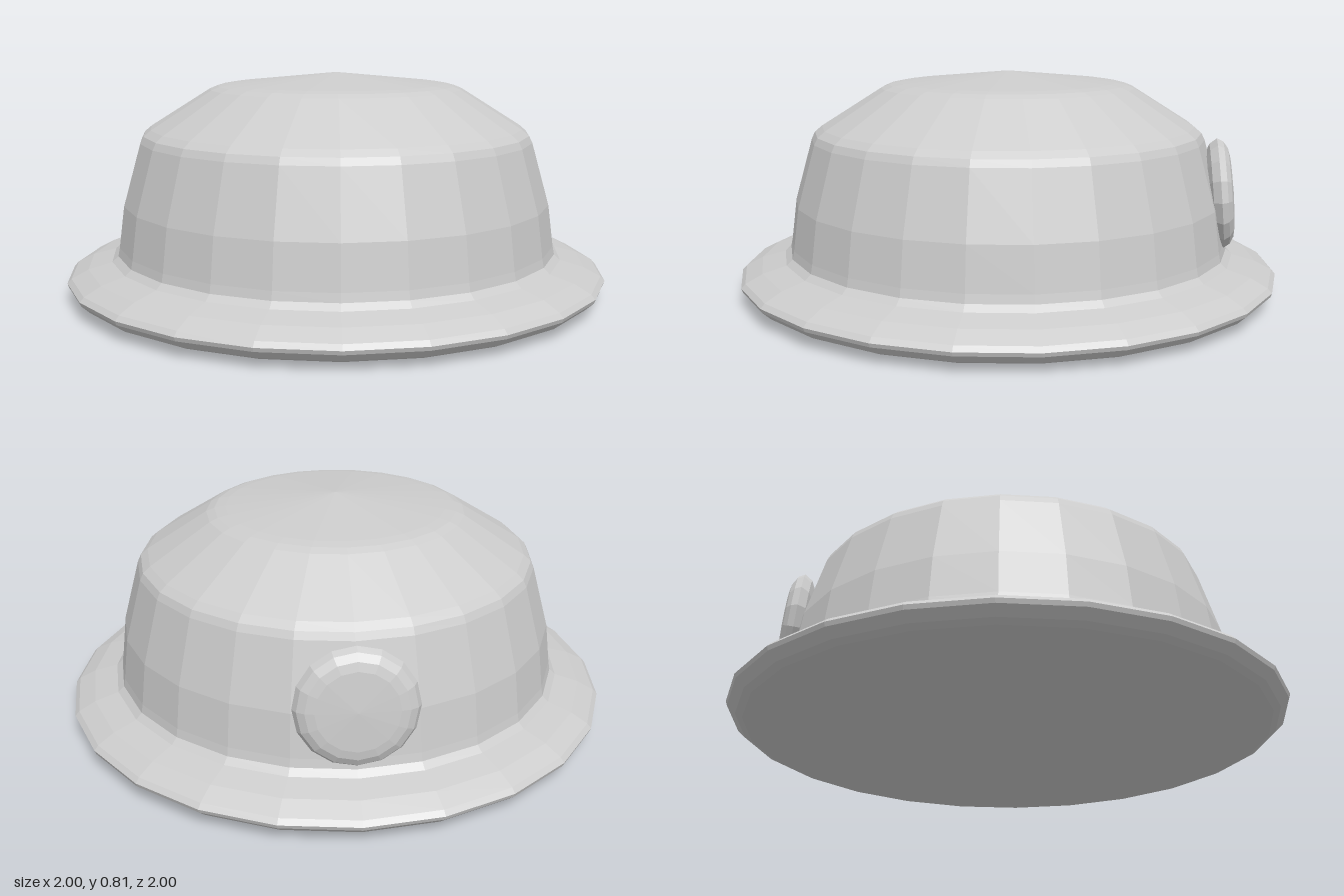
import * as THREE from 'three';

const material = new THREE.MeshStandardMaterial({ color: 0xcccccc });
material.name = 'light grey';
material.flatShading = true;

// Faceted turned solid; profile runs from the bottom up as [radius, height]
function turned(name, profile, sides) {
  const points = profile.map(([r, y]) => new THREE.Vector2(r, y));
  const mesh = new THREE.Mesh(new THREE.LatheGeometry(points, sides), material);
  mesh.name = name;
  return mesh;
}

export function createModel() {
  const model = new THREE.Group();
  model.name = 'domedLid';

  // Wide flat brim with a rounded edge and a closed underside
  model.add(turned('brim', [
    [0, 0], [0.94, 0.018], [0.965, 0.03], [0.995, 0.058], [1, 0.072],
    [0.985, 0.088], [0.925, 0.118], [0.84, 0.14], [0.818, 0.16],
  ], 24));

  // Dome with bevelled shoulders and a shallow cone on top
  model.add(turned('dome', [
    [0.818, 0.16], [0.812, 0.19], [0.792, 0.34], [0.728, 0.565], [0.716, 0.59],
    [0.69, 0.612], [0.47, 0.75], [0.44, 0.762], [0.4, 0.769], [0, 0.81],
  ], 24));

  // Round button on the back, leaning with the wall
  const button = turned('backButton', [
    [0, -0.055], [0.15, -0.045], [0.185, -0.028], [0.203, 0],
    [0.19, 0.022], [0.165, 0.037], [0.135, 0.043], [0, 0.05],
  ], 16);
  button.position.set(0, 0.37, -0.79);
  button.rotation.x = -Math.PI / 2 + 0.09;
  model.add(button);

  return model;
}
